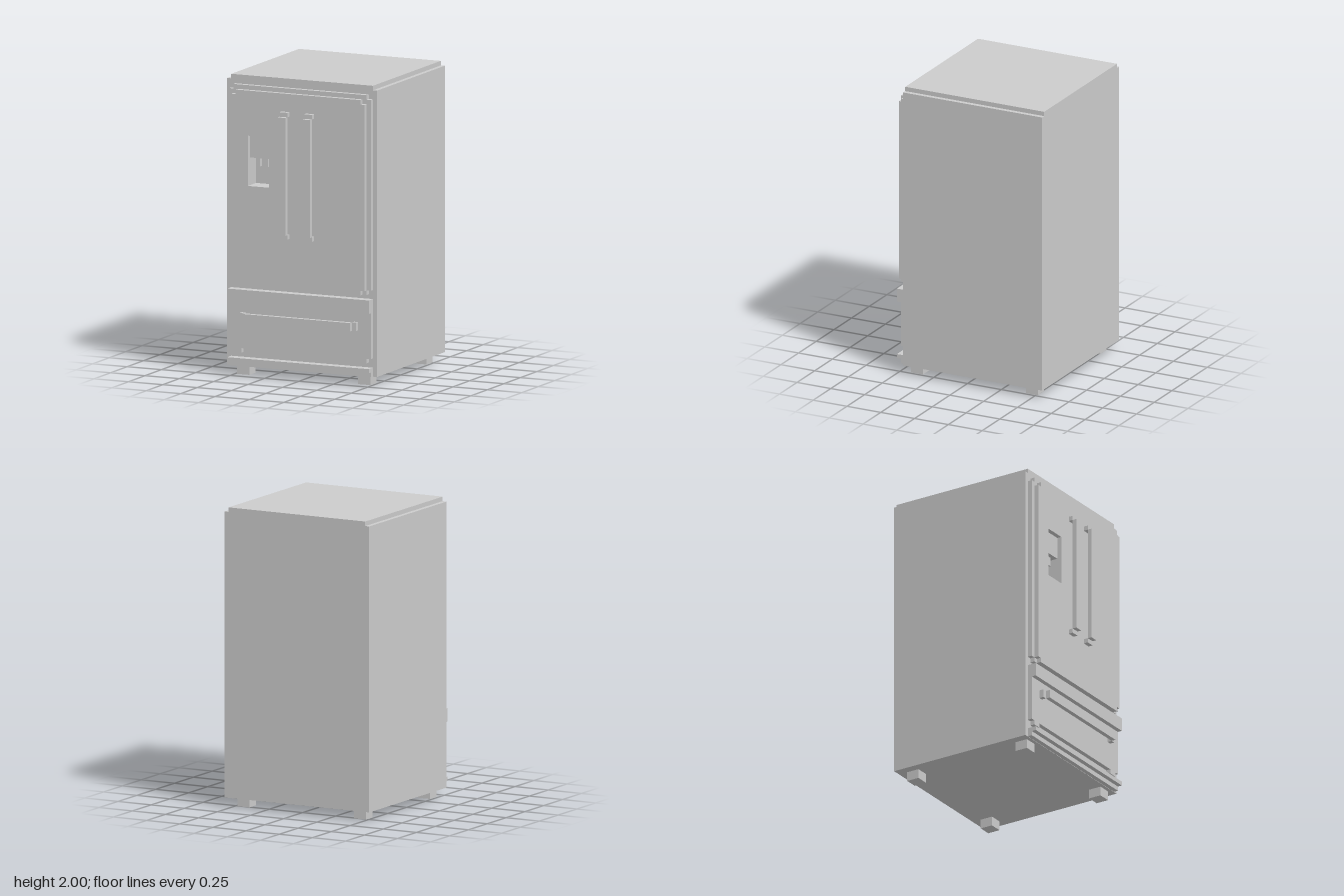
import * as THREE from 'three';

const grey = new THREE.MeshStandardMaterial({ color: 0xcccccc, flatShading: true });

export function createModel() {
  const model = new THREE.Group();

  // Box given by its minimum and maximum on each axis
  function box(name, x0, x1, y0, y1, z0, z1) {
    const mesh = new THREE.Mesh(new THREE.BoxGeometry(x1 - x0, y1 - y0, z1 - z0), grey);
    mesh.position.set((x0 + x1) / 2, (y0 + y1) / 2, (z0 + z1) / 2);
    mesh.name = name;
    model.add(mesh);
  }

  // Outline extruded from z0 to z1, optionally pierced by the dispenser opening
  const opening = [[-0.365, 1.275], [-0.21, 1.275], [-0.21, 1.61], [-0.365, 1.61]];
  const toPoints = (list) => list.map(([x, y]) => new THREE.Vector2(x, y));
  function plate(name, outline, z0, z1, pierced = true) {
    const shape = new THREE.Shape(toPoints(outline));
    if (pierced) shape.holes.push(new THREE.Path(toPoints(opening)));
    const geometry = new THREE.ExtrudeGeometry(shape, { depth: z1 - z0, bevelEnabled: false });
    const mesh = new THREE.Mesh(geometry, grey);
    mesh.position.z = z0;
    mesh.name = name;
    model.add(mesh);
  }

  // Mirrors the right half of an outline (listed bottom to top) across x = 0
  const mirrored = (half) => [...half, ...half.map(([x, y]) => [-x, y]).reverse()];
  // Rectangle with a small square step cut from each corner
  const stepped = (w, y0, y1, s = 0.03) =>
    mirrored([[w - s, y0], [w - s, y0 + s], [w, y0 + s], [w, y1 - s], [w - s, y1 - s], [w - s, y1]]);

  // Cabinet, with its front section opened for the dispenser recess
  box('cabinet', -0.545, 0.545, 0.063, 1.97, -0.575, 0.39);
  plate('cabinetFront', mirrored([[0.545, 0.063], [0.545, 1.97]]), 0.39, 0.453);
  box('topPanel', -0.515, 0.515, 1.97, 2, -0.575, 0.453);

  // Door in two stepped layers
  plate('doorBack', stepped(0.515, 0.61, 1.94), 0.453, 0.484);
  plate('doorFront', stepped(0.485, 0.61, 1.91), 0.484, 0.515);

  // Water dispenser
  box('dispenserPanel', -0.365, -0.21, 1.46, 1.61, 0.39, 0.484);
  for (const x of [-0.335, -0.275]) box('dispenserSpout', x, x + 0.03, 1.4, 1.46, 0.425, 0.455);

  // Door handles
  for (const x of [-0.12, 0.06]) {
    box('doorHandleBar', x, x + 0.057, 0.975, 1.76, 0.546, 0.575);
    box('doorHandleMount', x, x + 0.057, 0.945, 0.975, 0.515, 0.546);
    box('doorHandleMount', x, x + 0.057, 1.76, 1.79, 0.515, 0.546);
  }

  // Freezer drawer with small tabs on its lower edge
  plate('drawer', mirrored([[0.425, 0.185], [0.425, 0.155], [0.485, 0.155], [0.485, 0.185],
    [0.515, 0.185], [0.515, 0.58]]), 0.453, 0.484, false);
  box('drawerTopBand', -0.515, 0.515, 0.49, 0.58, 0.484, 0.515);
  box('drawerHandleBar', -0.393, 0.393, 0.37, 0.425, 0.515, 0.545);
  for (const s of [-1, 1]) {
    const x = s * 0.408;
    box('drawerHandleMount', x - 0.015, x + 0.015, 0.37, 0.425, 0.484, 0.515);
  }

  // Kick plate
  box('kickPlate', -0.515, 0.515, 0.065, 0.123, 0.453, 0.484);
  box('kickPlateLip', -0.515, 0.515, 0.095, 0.123, 0.484, 0.515);

  // Feet
  for (const x of [-0.44, 0.44]) {
    for (const z of [-0.468, 0.382]) box('foot', x - 0.045, x + 0.045, 0, 0.063, z - 0.044, z + 0.044);
  }

  return model;
}
